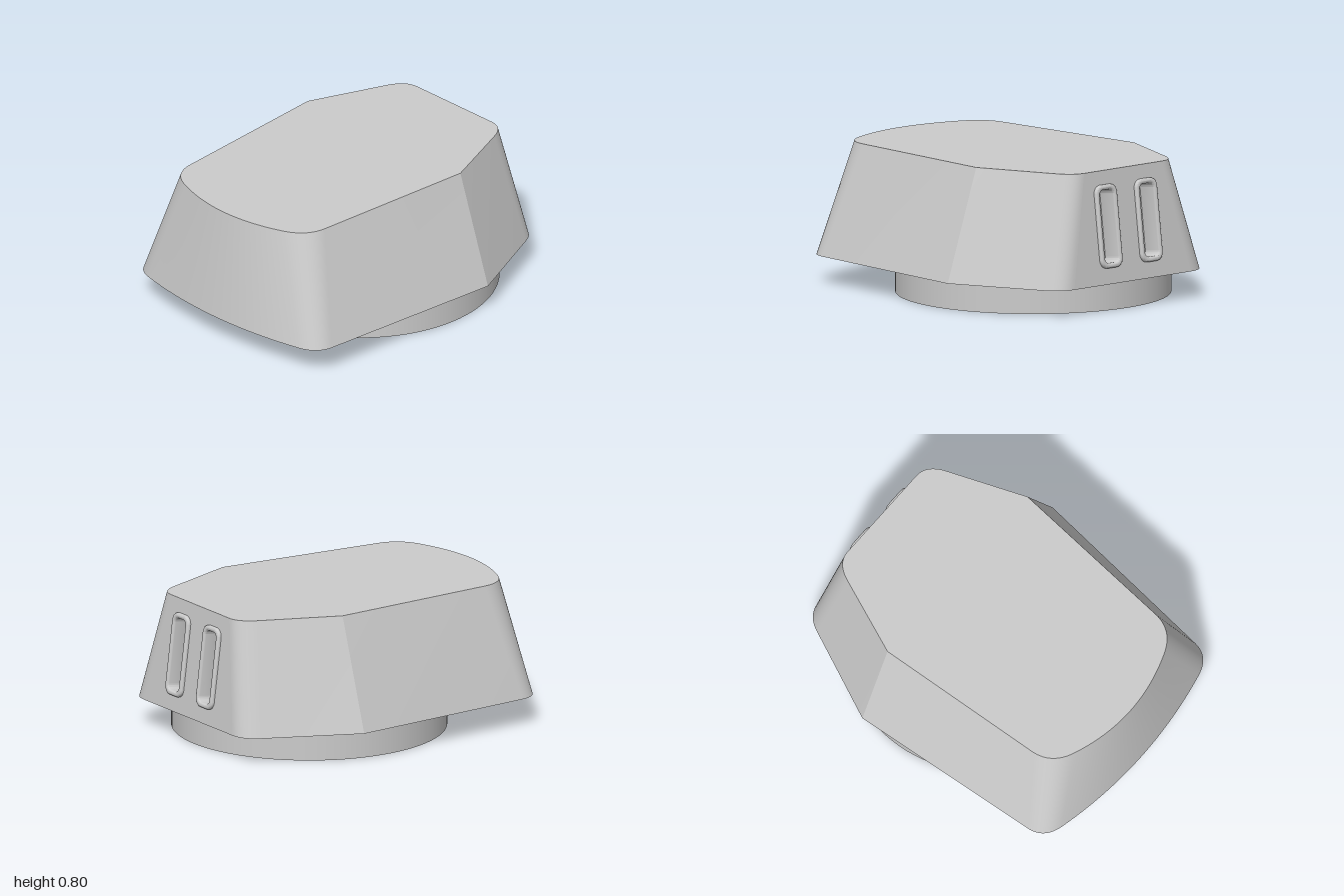
import * as THREE from 'three';
import { toCreasedNormals } from 'three/addons/utils/BufferGeometryUtils.js';

const Y0 = 0.16, Y1 = 0.8;
const BACK0 = -0.99, BACK1 = -0.91;

// Half outline in (x, z): rounded back corner, widest point, rounded front corner, bowed front; then mirrored
function outline(p) {
  const path = new THREE.Path();
  path.moveTo(...p.back);
  path.quadraticCurveTo(...p.backCorner, ...p.backSide);
  path.lineTo(...p.wide);
  path.lineTo(...p.frontSide);
  path.quadraticCurveTo(...p.frontCorner, ...p.front);
  path.quadraticCurveTo(p.front[0] / 2, p.tip, 0, p.tip);
  const half = path.getPoints(14);
  const mirrored = half.slice(0, -1).reverse().map(v => new THREE.Vector2(-v.x, v.y));
  return [...half, ...mirrored];
}

// Side skin between the lower and upper outlines
function skin(lower, upper) {
  const pos = [], index = [];
  lower.forEach((b, i) => {
    const t = upper[i];
    pos.push(b.x, Y0, b.y, t.x, Y1, t.y);
    if (i < lower.length - 1) {
      const k = i * 2;
      index.push(k + 2, k, k + 1, k + 2, k + 1, k + 3);
    }
  });
  const g = new THREE.BufferGeometry();
  g.setAttribute('position', new THREE.Float32BufferAttribute(pos, 3));
  g.setIndex(index);
  return toCreasedNormals(g, 0.35);
}

// Rounded rectangle, half sizes w and h, corner radius r
function roundRect(path, cx, cy, w, h, r) {
  path.absarc(cx + w - r, cy + h - r, r, 0, Math.PI / 2);
  path.absarc(cx - w + r, cy + h - r, r, Math.PI / 2, Math.PI);
  path.absarc(cx - w + r, cy - h + r, r, Math.PI, Math.PI * 1.5);
  path.absarc(cx + w - r, cy - h + r, r, Math.PI * 1.5, Math.PI * 2);
  path.closePath();
  return path;
}

export function createModel() {
  const model = new THREE.Group();
  const material = new THREE.MeshStandardMaterial({ color: 0xcccccc });
  const add = (parent, name, geometry) => {
    const mesh = new THREE.Mesh(geometry, material);
    mesh.name = name;
    parent.add(mesh);
    return mesh;
  };

  // Round base
  const base = add(model, 'base', new THREE.CylinderGeometry(0.78, 0.78, Y0, 96));
  base.position.set(0, Y0 / 2, -0.17);

  // Tapered housing
  const housing = new THREE.Group();
  housing.name = 'housing';
  model.add(housing);
  const lower = outline({
    back: [0.45, BACK0], backCorner: [0.555, BACK0], backSide: [0.6, -0.88], wide: [0.83, -0.35],
    frontSide: [0.73, 0.79], frontCorner: [0.72, 0.9], front: [0.6, 0.93], tip: 1,
  });
  const upper = outline({
    back: [0.3, BACK1], backCorner: [0.39, BACK1], backSide: [0.435, -0.79], wide: [0.61, -0.35],
    frontSide: [0.54, 0.66], frontCorner: [0.53, 0.79], front: [0.4, 0.845], tip: 0.925,
  });
  add(housing, 'sides', skin(lower, upper));
  const topShape = new THREE.Shape(upper.map(v => new THREE.Vector2(v.x, -v.y)));
  add(housing, 'topPanel', new THREE.ShapeGeometry(topShape).rotateX(-Math.PI / 2)).position.y = Y1;
  add(housing, 'underside', new THREE.ShapeGeometry(new THREE.Shape(lower)).rotateX(Math.PI / 2)).position.y = Y0;

  // Leaning back wall, local +z pointing outwards
  const back = new THREE.Group();
  back.name = 'back';
  back.position.set(0, Y0, BACK0);
  back.rotation.set(Math.atan2(BACK1 - BACK0, Y1 - Y0), Math.PI, 0);
  model.add(back);
  const slope = Math.hypot(Y1 - Y0, BACK1 - BACK0);
  const wall = new THREE.Shape([[-0.45, 0], [0.45, 0], [0.3, slope], [-0.3, slope]].map(c => new THREE.Vector2(...c)));

  // Two recessed slots with raised rims
  const slotY = 0.328, depth = 0.1, bevel = 0.012;
  for (const [name, x] of [['right', 0.155], ['left', -0.155]]) {
    wall.holes.push(roundRect(new THREE.Path(), x, slotY, 0.065, 0.215, 0.04));
    const rim = roundRect(new THREE.Shape(), x, slotY, 0.083, 0.237, 0.05);
    rim.holes.push(roundRect(new THREE.Path(), x, slotY, 0.053, 0.207, 0.03));
    const rimGeometry = new THREE.ExtrudeGeometry(rim, {
      depth: depth + 0.02 - bevel, curveSegments: 8, bevelEnabled: true,
      bevelThickness: bevel, bevelSize: bevel, bevelOffset: -bevel, bevelSegments: 3,
    });
    add(back, name + 'SlotRim', toCreasedNormals(rimGeometry, 0.6)).position.z = -depth;
    add(back, name + 'SlotFloor', new THREE.PlaneGeometry(0.14, 0.45)).position.set(x, slotY, -depth + 0.002);
  }
  add(back, 'backWall', new THREE.ShapeGeometry(wall, 8));

  return model;
}
